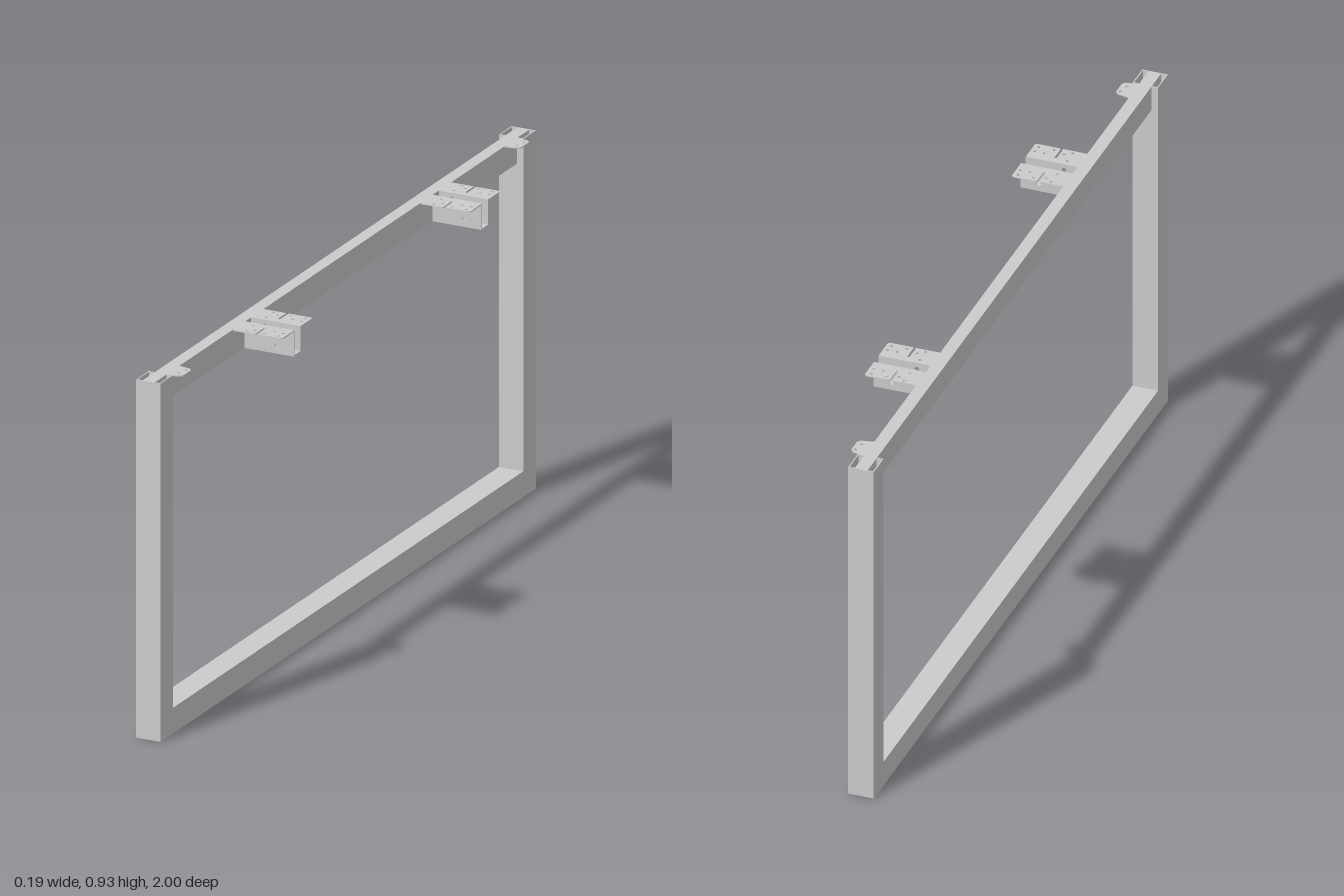
import * as THREE from 'three';

const H = 0.932;      // overall height
const W = 0.067;      // square tube width
const T = 0.003;      // sheet thickness
const POST_X = -0.06; // frame centre line
const RAIL_FACE = -0.044;

const material = new THREE.MeshStandardMaterial({ color: 0xcccccc, flatShading: true, side: THREE.DoubleSide });

function add(parent, name, geometry, x = 0, y = 0, z = 0) {
  const mesh = new THREE.Mesh(geometry, material);
  mesh.name = name;
  mesh.position.set(x, y, z);
  parent.add(mesh);
  return mesh;
}

function polygon(points, holes = [], r = 0.004) {
  const shape = new THREE.Shape(points.map(([x, y]) => new THREE.Vector2(x, y)));
  for (const [x, y] of holes) {
    const hole = new THREE.Path();
    hole.absarc(x, y, r, 0, Math.PI * 2, true);
    shape.holes.push(hole);
  }
  return shape;
}

const extrude = (shape, depth) =>
  new THREE.ExtrudeGeometry(shape, { depth, bevelEnabled: false, curveSegments: 8 });

const rectangle = (w, h) => [[-w / 2, -h / 2], [w / 2, -h / 2], [w / 2, h / 2], [-w / 2, h / 2]];

// Open-ended rectangular tube along z, centred
function tube(w, h, length) {
  const shape = polygon(rectangle(w, h));
  shape.holes.push(new THREE.Path(polygon(rectangle(w - 2 * T, h - 2 * T)).getPoints().reverse()));
  return extrude(shape, length).translate(0, 0, -length / 2);
}

// Horizontal sheet drawn in x and z, with its top at y = 0
const sheet = (points, holes) => extrude(polygon(points, holes), T).rotateX(Math.PI / 2);

// Hat-shaped bracket: a channel open at the top with a slit flange on each side
function bracket() {
  const group = new THREE.Group();
  group.name = 'mountingBracket';
  const x0 = RAIL_FACE, x1 = 0.092, length = x1 - x0;
  const half = 0.019, drop = 0.068;
  const wall = polygon(
    [[x0, -drop], [x1, -drop], [x1, 0], [x0, 0]],
    [[-0.008, -0.017], [0.045, -0.048]], 0.006);
  add(group, 'channelFloor', new THREE.BoxGeometry(length, T, 2 * half), (x0 + x1) / 2, -drop + T / 2, 0);
  for (const s of [-1, 1]) {
    add(group, 'channelWall', extrude(wall, T), 0, 0, s > 0 ? half - T : -half);
    const outline = [
      [x0, half - T], [x1, half - T], [x1, 0.077], [x1 - 0.005, 0.082], [0.028, 0.082],
      [0.025, 0.079], [0.025, 0.036], [0.019, 0.036], [0.019, 0.082], [x0, 0.082],
    ];
    const holes = [[-0.01, 0.073], [0.008, 0.06], [-0.01, 0.034], [0.038, 0.07], [0.055, 0.048], [0.078, 0.07], [0.08, 0.048]];
    const flip = (list) => list.map(([x, z]) => [x, s * z]);
    add(group, 'flange', sheet(flip(outline), flip(holes)));
  }
  return group;
}

export function createModel() {
  const model = new THREE.Group();
  model.name = 'wallFrame';

  // Lower and upper rails; the narrow upper rail runs through the post tops
  add(model, 'bottomRail', tube(W, W, 2 - 2 * W), POST_X, W / 2, 0);
  add(model, 'topRail', tube(0.033, W, 2), POST_X, H - W / 2, 0);

  for (const s of [-1, 1]) {
    // Open square posts
    add(model, 'post', tube(W, W, H).rotateX(Math.PI / 2), POST_X, H / 2, s * (1 - W / 2));

    // Brackets on the upper rail
    const mount = bracket();
    mount.position.set(0, H, s * 0.5);
    model.add(mount);

    // Small drilled end tabs with clipped corners
    const tab = [[RAIL_FACE, -0.034], [-0.012, -0.028], [-0.004, -0.02], [-0.004, 0.02], [-0.012, 0.028], [RAIL_FACE, 0.034]];
    add(model, 'endTab', sheet(tab, [[-0.014, -0.015], [-0.02, 0.012]]), 0, H, s * 0.9);
  }
  return model;
}
